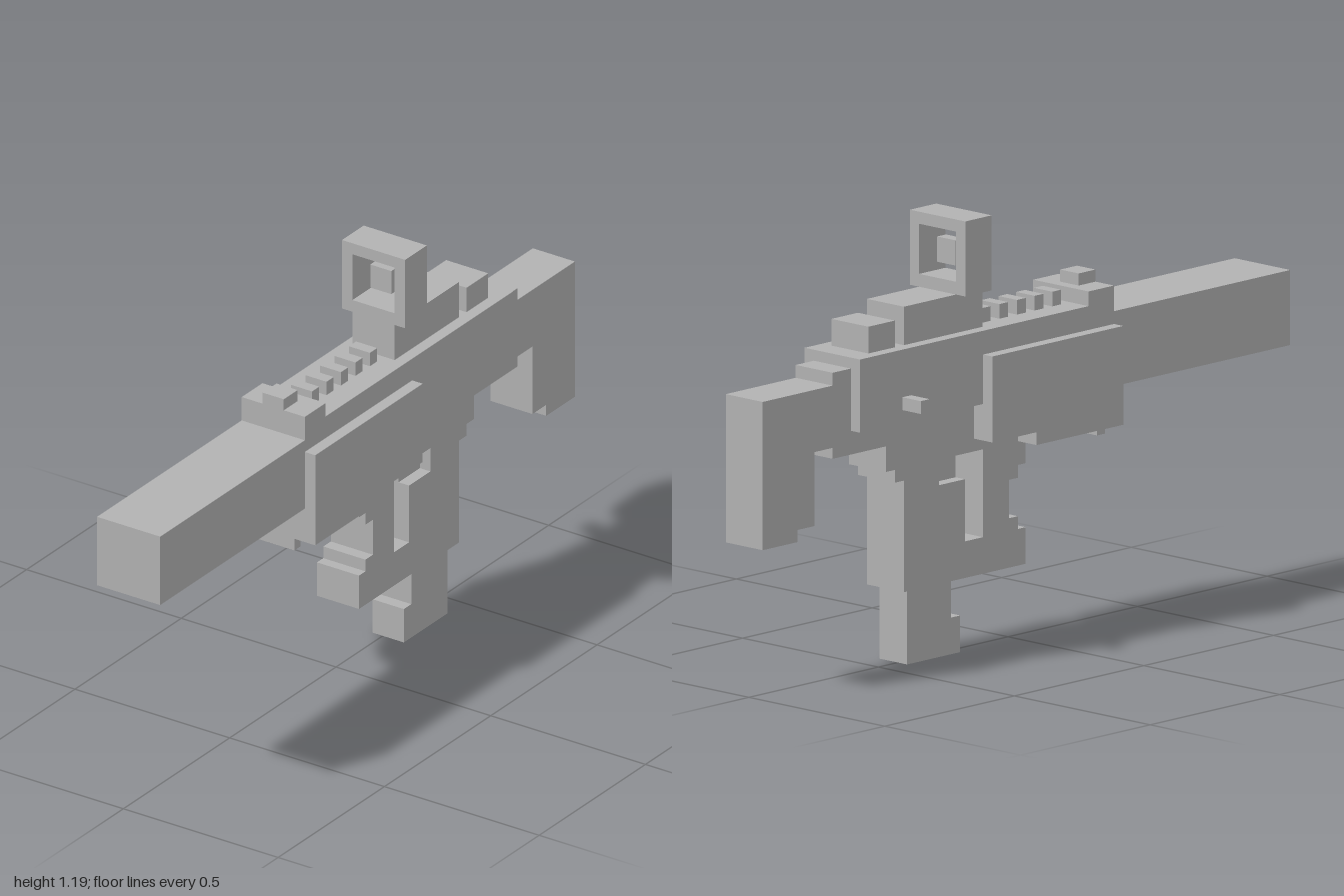
import * as THREE from 'three';

export function createModel() {
  const model = new THREE.Group();
  const grey = new THREE.MeshStandardMaterial({ color: 0xb2b2b2 });
  grey.name = 'grey';
  const CX = 0.017; // centre plane of the main parts

  const add = (name, geometry) => {
    const mesh = new THREE.Mesh(geometry, grey);
    mesh.name = name;
    model.add(mesh);
  };
  // box from its limits on each axis
  const box = (name, x0, x1, y0, y1, z0, z1) => {
    const g = new THREE.BoxGeometry(x1 - x0, y1 - y0, z1 - z0);
    g.translate((x0 + x1) / 2, (y0 + y1) / 2, (z0 + z1) / 2);
    add(name, g);
  };
  // box of a given width on the centre plane
  const mid = (name, w, y0, y1, z0, z1) => box(name, CX - w / 2, CX + w / 2, y0, y1, z0, z1);
  // side outline of [z, y] points, extruded across the width
  const profile = (name, w, points, hole) => {
    const toVec = ([z, y]) => new THREE.Vector2(-z, y);
    const shape = new THREE.Shape(points.map(toVec));
    if (hole) shape.holes.push(new THREE.Path(hole.map(toVec)));
    const g = new THREE.ExtrudeGeometry(shape, { depth: w, bevelEnabled: false });
    g.rotateY(Math.PI / 2).translate(CX - w / 2, 0, 0);
    add(name, g);
  };

  const WIDE = 0.272, BODY = 0.204, SLIM = 0.136, MAG = 0.102, THIN = 0.068;

  // barrel, receiver and wide handguard
  mid('barrel', BODY, 0.645, 0.85, 0.32, 1);
  mid('receiver', BODY, 0.68, 0.88, -0.66, 0.32);
  profile('handguard', WIDE, [
    [0.32, 0.545], [-0.015, 0.545], [-0.015, 0.58], [-0.185, 0.58], [-0.185, 0.815], [0.32, 0.815],
  ]);
  mid('handguardStud', SLIM, 0.51, 0.545, 0.29, 0.32);

  // slim core with stepped grips and the trigger opening
  profile('gripFrame', SLIM, [
    [0.015, 0.6], [0.015, 0.48], [-0.015, 0.48], [-0.015, 0.445], [-0.05, 0.445],
    [-0.05, 0.34], [-0.015, 0.34], [-0.015, 0.305], [0.015, 0.305], [0.015, 0.205],
    [-0.455, 0.205], [-0.455, 0.51], [-0.49, 0.51], [-0.49, 0.545], [-0.525, 0.545],
    [-0.525, 0.615], [-0.73, 0.615], [-0.73, 0.85], [-0.1, 0.85], [-0.1, 0.6],
  ], [
    [-0.15, 0.305], [-0.22, 0.305], [-0.22, 0.475], [-0.32, 0.475], [-0.32, 0.545], [-0.15, 0.545],
  ]);
  mid('trigger', THIN, 0.475, 0.545, -0.32, -0.22);

  // magazine and its toe
  profile('magazine', MAG, [
    [-0.22, 0], [-0.425, 0], [-0.425, 0.205], [-0.255, 0.205], [-0.255, 0.1], [-0.22, 0.1],
  ]);

  // stock
  profile('stock', SLIM, [
    [-0.73, 0.645], [-0.8, 0.645], [-0.8, 0.443], [-0.865, 0.443], [-0.865, 0.41],
    [-1, 0.41], [-1, 0.815], [-0.73, 0.815],
  ]);

  // top rail, front and rear sights
  mid('frontSightBase', BODY, 0.88, 0.92, 0.222, 0.32);
  mid('frontSight', THIN, 0.92, 0.953, 0.255, 0.32);
  for (let i = 0; i < 5; i++) {
    const z = 0.17 - i * 0.068;
    mid('railTooth', THIN, 0.88, 0.92, z - 0.017, z + 0.017);
  }
  mid('rearSight', SLIM, 0.88, 0.953, -0.592, -0.49);

  // scope mount, hollow square housing and aiming block
  mid('scopeMount', SLIM, 0.88, 0.985, -0.455, -0.152);
  const frame = new THREE.Shape([[-0.085, 0.985], [0.119, 0.985], [0.119, 1.19], [-0.085, 1.19]]
    .map(p => new THREE.Vector2(...p)));
  frame.holes.push(new THREE.Path([[-0.051, 1.02], [-0.051, 1.157], [0.085, 1.157], [0.085, 1.02]]
    .map(p => new THREE.Vector2(...p))));
  const scope = new THREE.ExtrudeGeometry(frame, { depth: 0.102, bevelEnabled: false });
  scope.translate(0, 0, -0.254);
  add('scopeHousing', scope);
  mid('aimingBlock', THIN, 1.053, 1.122, -0.22, -0.186);

  // charging handle on the right side
  box('chargingHandle', -0.153, -0.085, 0.715, 0.75, -0.497, -0.463);

  return model;
}
